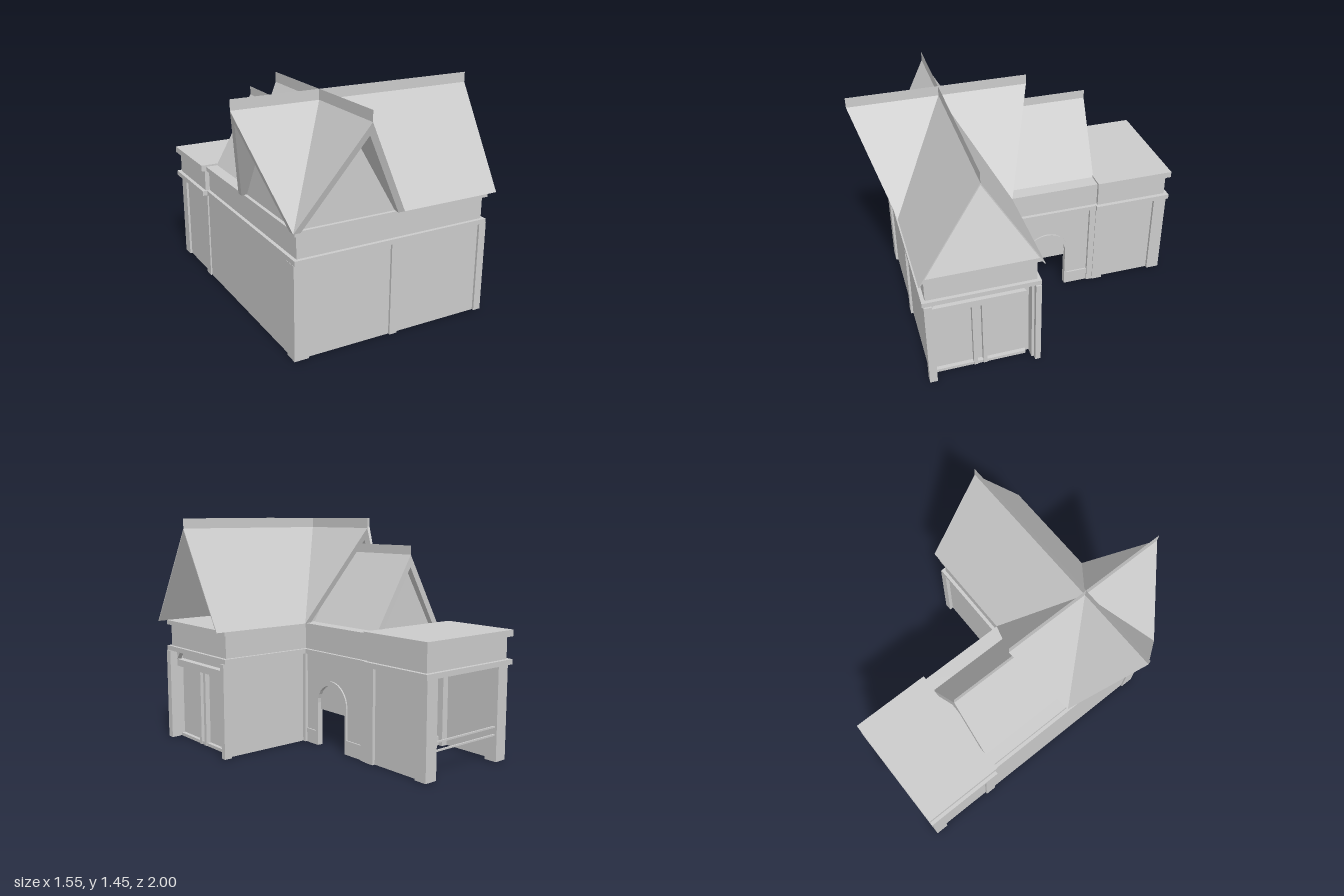
import * as THREE from 'three';

const mat = new THREE.MeshStandardMaterial({ color: 0xcccccc, flatShading: true });
const shell = new THREE.MeshStandardMaterial({ color: 0xcccccc, flatShading: true, side: THREE.DoubleSide });
const shapeOf = (points) => new THREE.Shape(points.map(q => new THREE.Vector2(...q)));

export function createModel() {
  const model = new THREE.Group();
  const add = (name, geometry, material = mat) => {
    const mesh = new THREE.Mesh(geometry, material);
    mesh.name = name;
    model.add(mesh);
  };
  // Box given by its extents on each axis
  const box = (name, x0, x1, y0, y1, z0, z1) => {
    const g = new THREE.BoxGeometry(x1 - x0, y1 - y0, z1 - z0);
    g.translate((x0 + x1) / 2, (y0 + y1) / 2, (z0 + z1) / 2);
    add(name, g);
  };

  // Storey bands on the L-shaped footprint, pulled in by an inset
  const band = (name, inset, y0, y1) => {
    const l = -0.578 + inset, r = 0.72 - inset, w = 0.11 - inset;
    const f = 0.785 - inset, b = 0.082 + inset, e = -0.5;
    const s = shapeOf([[l, -f], [r, -f], [r, -b], [w, -b], [w, -e], [l, -e]]);
    const g = new THREE.ExtrudeGeometry(s, { depth: y1 - y0, bevelEnabled: false });
    g.rotateX(-Math.PI / 2).translate(0, y0, 0);
    add(name, g);
  };
  band('lowerCornice', 0, 0.585, 0.615);
  band('upperWall', 0.022, 0.615, 0.755);
  band('upperCornice', 0, 0.755, 0.783);

  // Ground floor walls
  const H = 0.585;
  box('frontWall', -0.57, 0.7, 0, H, 0.735, 0.762);
  box('leftWall', -0.57, -0.545, 0, H, -0.5, 0.75);
  box('leftBaseboard', -0.545, -0.53, 0.03, 0.06, -0.45, 0.7);
  box('wingBackWall', 0.09, 0.7, 0, H, 0.11, 0.135);

  // Recessed bay in the long wing's end: panel, centre posts, sill and bracketed beam
  box('bayPanel', 0.62, 0.635, 0, H, 0.12, 0.75);
  box('baySill', 0.635, 0.66, 0, 0.02, 0.16, 0.73);
  box('bayBeam', 0.635, 0.68, 0.48, 0.525, 0.16, 0.73);
  for (const z of [0.405, 0.465]) box('bayPost', 0.635, 0.665, 0, 0.48, z, z + 0.025);
  for (const [z, d] of [[0.16, 1], [0.73, -1]]) {
    const g = new THREE.ExtrudeGeometry(shapeOf([[0, 0.525], [0, H], [0.045, H]]), { depth: 0.03, bevelEnabled: false });
    g.rotateY(-d * Math.PI / 2).translate(d > 0 ? 0.68 : 0.65, 0, z);
    add('beamBracket', g, shell);
  }

  // Posts of the main house
  for (const [x0, x1, z0, z1] of [
    [-0.58, -0.49, 0.69, 0.777], [0.05, 0.1, 0.73, 0.777], [0.68, 0.73, 0.73, 0.777],
    [0.68, 0.73, 0.085, 0.12], [0.07, 0.11, 0.085, 0.12], [0.05, 0.11, -0.5, -0.45],
  ]) box('post', x0, x1, 0, H, z0, z1);

  // Side wall with arched doorway, its plinth and arch trim, and a panel in the arch head
  const side = (name, shape, x, depth) => {
    const g = new THREE.ExtrudeGeometry(shape, { depth, bevelEnabled: false, curveSegments: 7 });
    // shape x becomes z, the depth runs along -x
    g.rotateY(-Math.PI / 2).translate(x, 0, 0);
    add(name, g);
  };
  // Closes a shape by going round the doorway from a given height
  const doorway = (shape, y) => {
    shape.lineTo(-0.29, y);
    shape.lineTo(-0.29, 0.28);
    shape.absarc(-0.16, 0.28, 0.13, Math.PI, 0, true);
    shape.lineTo(-0.03, y);
    return shape;
  };
  side('archWall', doorway(shapeOf([[0.11, 0], [0.11, H], [-0.47, H], [-0.47, 0]]), 0), 0.09, 0.03);
  const trim = shapeOf([[0.08, 0], [0.08, 0.09], [-0.013, 0.09]]);
  trim.absarc(-0.16, 0.29, 0.147, 0, Math.PI, false);
  trim.lineTo(-0.307, 0.09);
  trim.lineTo(-0.45, 0.09);
  trim.lineTo(-0.45, 0);
  side('archTrim', doorway(trim, 0), 0.1, 0.02);
  side('archHeadPanel', doorway(shapeOf([[-0.16, 0.235]]), 0.235), 0.075, 0.012);

  // Rear porch: posts, side panels, rails and flat roof
  for (const x of [-0.58, 0.03]) {
    box('porchPost', x, x + 0.085, 0, H, -0.99, -0.905);
    box('porchPost', x, x + 0.085, 0, H, -0.56, -0.49);
  }
  for (const x of [-0.565, 0.07]) box('porchPanel', x, x + 0.025, 0, H, -0.92, -0.55);
  for (const y of [0.16, 0.21]) box('porchRail', -0.52, 0.06, y, y + 0.01, -0.975, -0.965);
  box('porchThreshold', -0.52, 0.06, 0, 0.06, -0.53, -0.5);
  box('porchCornice', -0.61, 0.13, 0.585, 0.617, -1, -0.49);
  box('porchParapet', -0.585, 0.105, 0.617, 0.755, -0.975, -0.502);
  box('porchRoof', -0.61, 0.13, 0.755, 0.795, -1, -0.49);

  // One roof arm pointing along local +z from its centre: two thick slopes,
  // a thin ridge plate and, unless the end is open, a set-back gable wall
  const roofArm = ({ name, at, turn, half, valley, eave, ridge, peak, top, drop = 0.075, open = false }) => {
    const base = 0.78, inset = drop * half / (peak - base), inHalf = half - inset;
    const p = [];
    const quad = (a, b, c, d) => p.push(...a, ...b, ...c, ...a, ...c, ...d);
    const inRidge = ridge - (ridge - eave) * drop / (peak - base);
    for (const s of [1, -1]) {
      const layer = (h, y, r, v) => [[0, y, 0], [0, y, r], [s * h, base, eave], [s * h, base, v]];
      const o = layer(half, peak, ridge, valley);
      const i = layer(inHalf, peak - drop, inRidge, Math.max(valley - inset, 0));
      quad(...o);
      quad(...i);
      quad(o[1], i[1], i[2], o[2]);
      quad(o[2], i[2], i[3], o[3]);
    }
    const g = new THREE.BufferGeometry();
    g.setAttribute('position', new THREE.Float32BufferAttribute(p, 3));
    g.computeVertexNormals();
    const arm = new THREE.Group();
    arm.name = name;
    const part = (label, geometry) => {
      const m = new THREE.Mesh(geometry, shell);
      m.name = label;
      arm.add(m);
      return m;
    };
    part('slopes', g);
    if (!open) {
      const tri = shapeOf([[-inHalf, base], [inHalf, base], [0, peak - drop]]);
      part('gableWall', new THREE.ShapeGeometry(tri)).position.z = eave - 0.035;
    }
    const plate = new THREE.PlaneGeometry(ridge, top - peak).rotateY(Math.PI / 2);
    part('ridgePlate', plate).position.set(0, (top + peak) / 2, ridge / 2);
    arm.position.set(at[0], 0, at[1]);
    arm.rotation.y = turn;
    model.add(arm);
  };
  const main = { at: [-0.24, 0.44], peak: 1.385, top: 1.447 };
  const cross = { ...main, half: 0.352, valley: 0.36, eave: 0.36, ridge: 0.555 };
  const along = { ...main, half: 0.36, valley: 0.352 };
  roofArm({ ...cross, name: 'frontRoof', turn: 0 });
  roofArm({ ...cross, name: 'backRoof', turn: Math.PI });
  roofArm({ ...along, name: 'leftGableRoof', turn: -Math.PI / 2, eave: 0.352, ridge: 0.533 });
  roofArm({ ...along, name: 'longRoof', turn: Math.PI / 2, eave: 1.013, ridge: 1.013, drop: 0.012, open: true });
  roofArm({
    name: 'rearRoof', at: [-0.24, 0.1], turn: Math.PI, half: 0.262, valley: 0,
    eave: 0.595, ridge: 0.605, peak: 1.23, top: 1.285,
  });
  return model;
}
